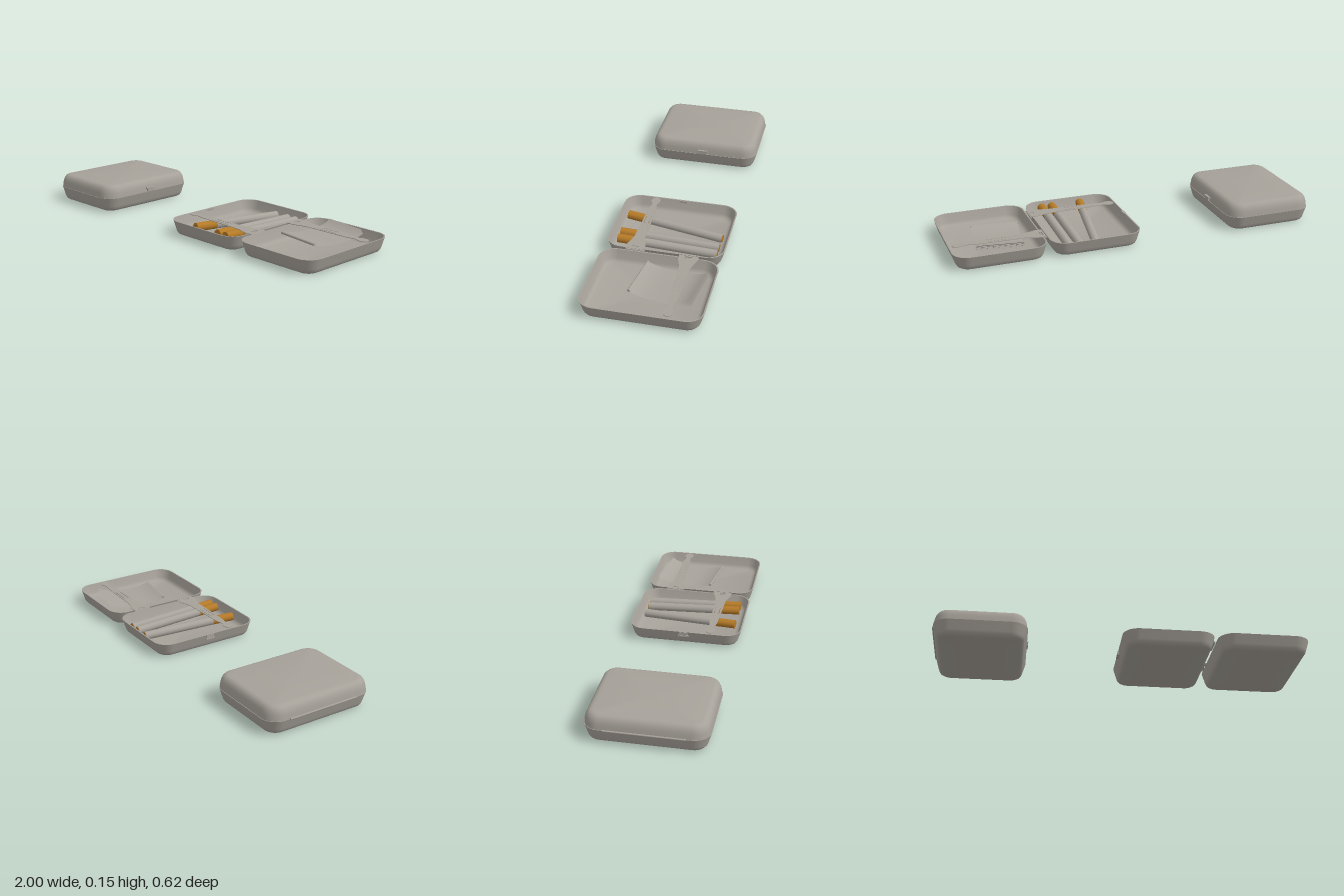
import * as THREE from 'three';
import { toCreasedNormals } from 'three/addons/utils/BufferGeometryUtils.js';

const HX = 0.246, HZ = 0.31, R = 0.085;

// Stack of rounded rectangles: each profile point is [inset, y]; both ends are capped.
function loft(profile) {
  const SEG = 10, N = 4 * (SEG + 1), pos = [], idx = [];
  for (const [inset, y] of profile) {
    const hx = HX - inset, hz = HZ - inset, r = Math.max(R - inset, 0.01);
    for (let q = 0; q < 4; q++) {
      const cx = (q === 0 || q === 3 ? 1 : -1) * (hx - r);
      const cz = (q < 2 ? 1 : -1) * (hz - r);
      for (let k = 0; k <= SEG; k++) {
        const a = (q + k / SEG) * Math.PI / 2;
        pos.push(cx + r * Math.cos(a), y, cz + r * Math.sin(a));
      }
    }
  }
  const last = profile.length - 1;
  for (let i = 0; i < last; i++) {
    for (let j = 0; j < N; j++) {
      const k = (j + 1) % N, a = i * N + j, b = i * N + k;
      idx.push(a, a + N, b, b, a + N, b + N);
    }
  }
  const c = pos.length / 3;
  pos.push(0, profile[0][1], 0, 0, profile[last][1], 0);
  for (let j = 0; j < N; j++) {
    const k = (j + 1) % N;
    idx.push(c, j, k, c + 1, last * N + k, last * N + j);
  }
  const g = new THREE.BufferGeometry();
  g.setAttribute('position', new THREE.Float32BufferAttribute(pos, 3));
  g.setIndex(idx);
  return toCreasedNormals(g, 0.6);
}

// Holding strap, running from the hinge at the origin along +x, lying flat.
function strapGeometry() {
  const s = new THREE.Shape();
  s.moveTo(0, -0.05);
  s.lineTo(0.03, -0.05);
  s.bezierCurveTo(0.06, -0.045, 0.08, -0.028, 0.13, -0.028);
  s.lineTo(0.36, -0.022);
  s.bezierCurveTo(0.39, -0.02, 0.4, -0.012, 0.425, -0.014);
  s.bezierCurveTo(0.44, -0.03, 0.485, -0.03, 0.485, 0);
  s.bezierCurveTo(0.485, 0.03, 0.44, 0.03, 0.425, 0.014);
  s.bezierCurveTo(0.4, 0.012, 0.39, 0.02, 0.36, 0.022);
  s.lineTo(0.13, 0.028);
  s.bezierCurveTo(0.08, 0.028, 0.06, 0.045, 0.03, 0.05);
  s.lineTo(0, 0.05);
  s.closePath();
  const hole = (x0, x1, z0, z1) => {
    const h = new THREE.Path();
    h.moveTo(x0, z0); h.lineTo(x0, z1); h.lineTo(x1, z1); h.lineTo(x1, z0);
    h.closePath();
    s.holes.push(h);
  };
  hole(0.008, 0.024, -0.018, 0.018);
  hole(0.19, 0.3, -0.014, -0.011);
  hole(0.19, 0.3, 0.011, 0.014);
  const g = new THREE.ExtrudeGeometry(s, { depth: 0.003, bevelEnabled: false, curveSegments: 8 });
  return g.rotateX(-Math.PI / 2);
}

export function createModel() {
  const model = new THREE.Group();
  const metal = new THREE.MeshStandardMaterial({ color: 0xa6a199 });
  const paper = new THREE.MeshStandardMaterial({ color: 0xa8a39b, side: THREE.DoubleSide });
  const filterMat = new THREE.MeshStandardMaterial({ color: 0xb47a28 });

  const add = (parent, name, geo, mat, x = 0, y = 0, z = 0) => {
    const m = new THREE.Mesh(geo, mat);
    m.name = name;
    m.position.set(x, y, z);
    parent.add(m);
    return m;
  };
  const group = (name) => {
    const g = new THREE.Group();
    g.name = name;
    model.add(g);
    return g;
  };

  // Profiles shared by the closed and open cases
  const outer = [[0.046, 0], [0.036, 0.002], [0.026, 0.008], [0.019, 0.018], [0.015, 0.03], [0, 0.08]];
  const inner = [[0.007, 0.08], [0.021, 0.035], [0.026, 0.025], [0.034, 0.018], [0.046, 0.014]];
  const lid = [[0.003, 0.08], [0.006, 0.105], [0.01, 0.12], [0.016, 0.133], [0.025, 0.143], [0.035, 0.148], [0.047, 0.15]];
  const barrel = (len) => new THREE.CylinderGeometry(0.005, 0.005, len, 12).rotateX(Math.PI / 2);

  // Closed case
  const closed = group('closedCase');
  add(closed, 'closedBase', loft(outer), metal, -0.747);
  add(closed, 'closedLid', loft(lid), metal, -0.747);
  add(closed, 'closedHinge', barrel(0.4), metal, -0.995, 0.081, 0);
  add(closed, 'latchStem', new THREE.BoxGeometry(0.014, 0.016, 0.044), metal, -0.503, 0.09, 0);
  add(closed, 'latchButton', new THREE.BoxGeometry(0.018, 0.008, 0.056), metal, -0.503, 0.101, 0);

  // Open case: two trays joined by a hinge
  const open = group('openCase');
  const tray = loft([...outer, ...inner]);
  add(open, 'rightTray', tray, metal, 0.243);
  add(open, 'leftTray', tray, metal, 0.753);
  add(open, 'openLatchStem', new THREE.BoxGeometry(0.014, 0.016, 0.044), metal, 0.001, 0.07, 0);
  add(open, 'openLatchButton', new THREE.BoxGeometry(0.018, 0.008, 0.056), metal, 0, 0.058, 0);
  for (const z of [-0.14, 0.14]) add(open, 'hingeBarrel', barrel(0.1), metal, 0.498, 0.078, z);

  // Straps, one folding over each tray
  const strap = strapGeometry();
  add(open, 'leftStrap', strap, metal, 0.495, 0.08, -0.14);
  add(open, 'rightStrap', strap, metal, 0.495, 0.08, 0.145).rotation.y = Math.PI;

  // Three cigarettes, far ends resting on the tray floor
  const cigarette = (x0, x1) => {
    const far = new THREE.Vector3(x0, 0.039, -0.265), near = new THREE.Vector3(x1, 0.061, 0.262);
    const dir = near.clone().sub(far), length = dir.length();
    dir.normalize();
    const g = new THREE.Group();
    g.name = 'cigarette';
    g.position.copy(far);
    g.quaternion.setFromUnitVectors(new THREE.Vector3(0, 1, 0), dir);
    const body = length - 0.125;
    add(g, 'paperTube', new THREE.CylinderGeometry(0.023, 0.023, body, 20), paper, 0, body / 2, 0);
    add(g, 'filter', new THREE.CylinderGeometry(0.0233, 0.0233, 0.125, 20), filterMat, 0, body + 0.0625, 0);
    add(g, 'tobaccoEnd', new THREE.CylinderGeometry(0.02, 0.02, 0.002, 20), filterMat, 0, -0.001, 0);
    open.add(g);
  };
  cigarette(0.25, 0.17);
  cigarette(0.334, 0.334);
  cigarette(0.392, 0.392);

  // Booklet of rolling papers, curled up at both ends under the strap
  const booklet = new THREE.Group();
  booklet.name = 'paperBooklet';
  booklet.position.set(0.73, 0, -0.09);
  booklet.rotation.y = -0.14;
  open.add(booklet);
  for (let i = 0; i < 4; i++) {
    const g = new THREE.PlaneGeometry(0.25 - 0.004 * i, 0.33 - 0.006 * i, 4, 24).rotateX(-Math.PI / 2);
    const p = g.attributes.position;
    for (let k = 0; k < p.count; k++) {
      const t = p.getZ(k) / 0.165;
      const rise = t < 0 ? 0.025 + 0.005 * i : 0.024;
      p.setY(k, 0.055 + 0.004 * i + rise * Math.pow(Math.abs(t), 3));
    }
    g.computeVertexNormals();
    add(booklet, 'paperLeaf', g, paper);
  }
  // Rolled front edge of the booklet
  add(booklet, 'rolledEdge', new THREE.CylinderGeometry(0.007, 0.007, 0.25, 12).rotateZ(Math.PI / 2), paper, 0, 0.08, 0.16);

  return model;
}
